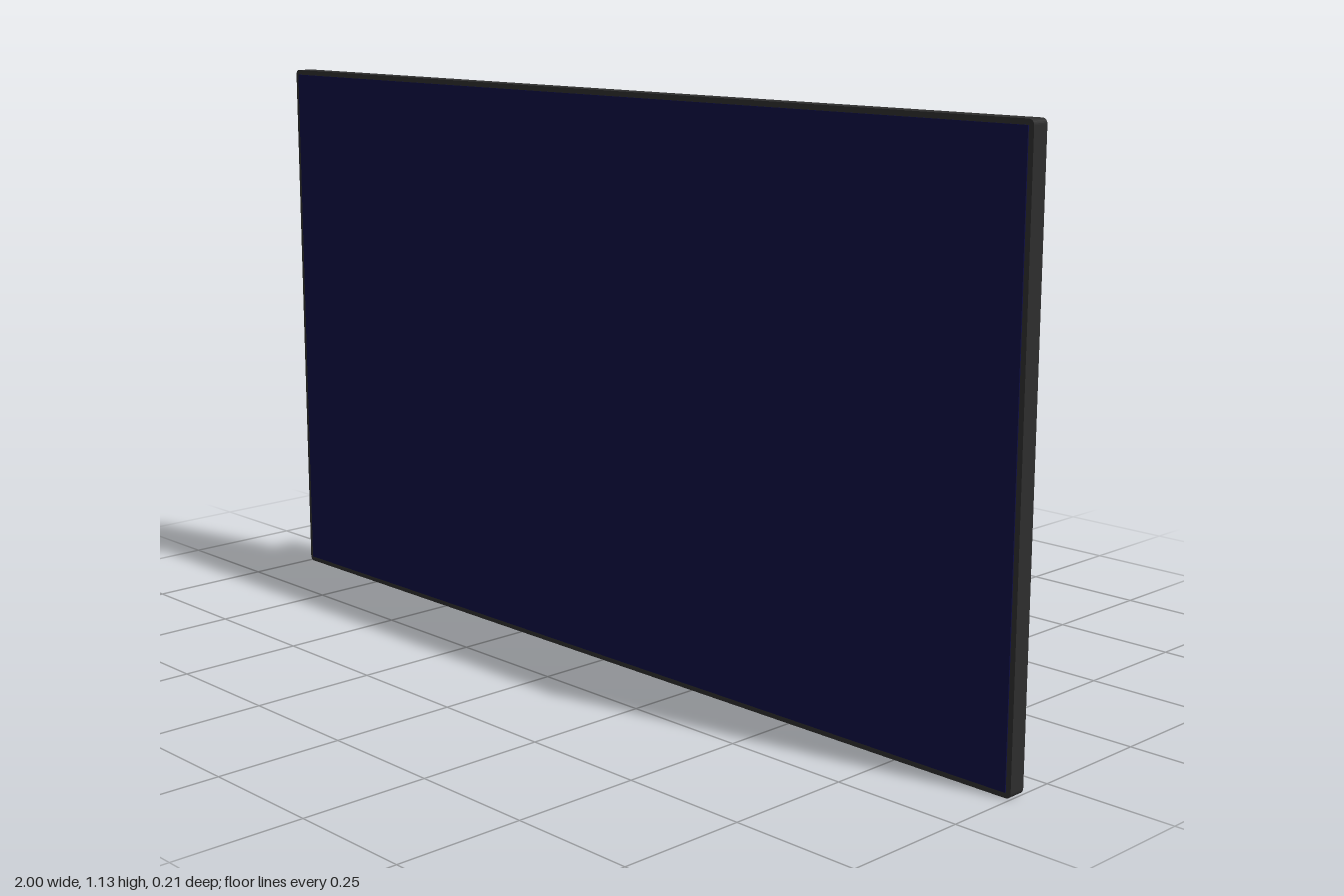
import * as THREE from 'three';

const HEIGHT = 1.13, MID = HEIGHT / 2;

// Rounded rectangle centred on the origin
function roundedRect(w, h, r) {
  const s = new THREE.Shape();
  const x = w / 2 - r, y = h / 2 - r;
  s.absarc(x, y, r, 0, Math.PI / 2);
  s.absarc(-x, y, r, Math.PI / 2, Math.PI);
  s.absarc(-x, -y, r, Math.PI, Math.PI * 1.5);
  s.absarc(x, -y, r, Math.PI * 1.5, Math.PI * 2);
  s.closePath();
  return s;
}

export function createModel() {
  const group = new THREE.Group();
  const casing = new THREE.MeshStandardMaterial({ color: 0x2d2d2d });
  casing.name = 'casing';
  const glass = new THREE.MeshStandardMaterial({ color: 0x0d0d42 });
  glass.name = 'screenGlass';

  function add(name, geometry, material, y, z) {
    const mesh = new THREE.Mesh(geometry, material);
    mesh.name = name;
    mesh.position.set(0, y, z);
    group.add(mesh);
  }

  // Thin front frame with slightly rounded corners
  add('frame', new THREE.ExtrudeGeometry(roundedRect(2, HEIGHT, 0.01),
    { depth: 0.035, bevelEnabled: false, curveSegments: 3 }), casing, MID, 0.068);

  // Screen panel set in the frame
  add('screen', new THREE.BoxGeometry(1.98, 1.11, 0.004), glass, MID, 0.103);

  // Back shell: a box whose rear face shrinks to the size of the rear housing
  const shell = new THREE.BoxGeometry(1.99, 1.12, 0.1);
  const p = shell.attributes.position;
  for (let i = 0; i < p.count; i++) {
    if (p.getZ(i) < 0) {
      p.setXY(i, Math.sign(p.getX(i)) * 0.472, Math.sign(p.getY(i)) * 0.266);
    }
  }
  shell.computeVertexNormals();
  add('backShell', shell, casing, MID + 0.002, 0.019);

  // Rear housing
  add('rearHousing', new THREE.BoxGeometry(0.944, 0.532, 0.076), casing, MID + 0.002, -0.067);

  return group;
}
